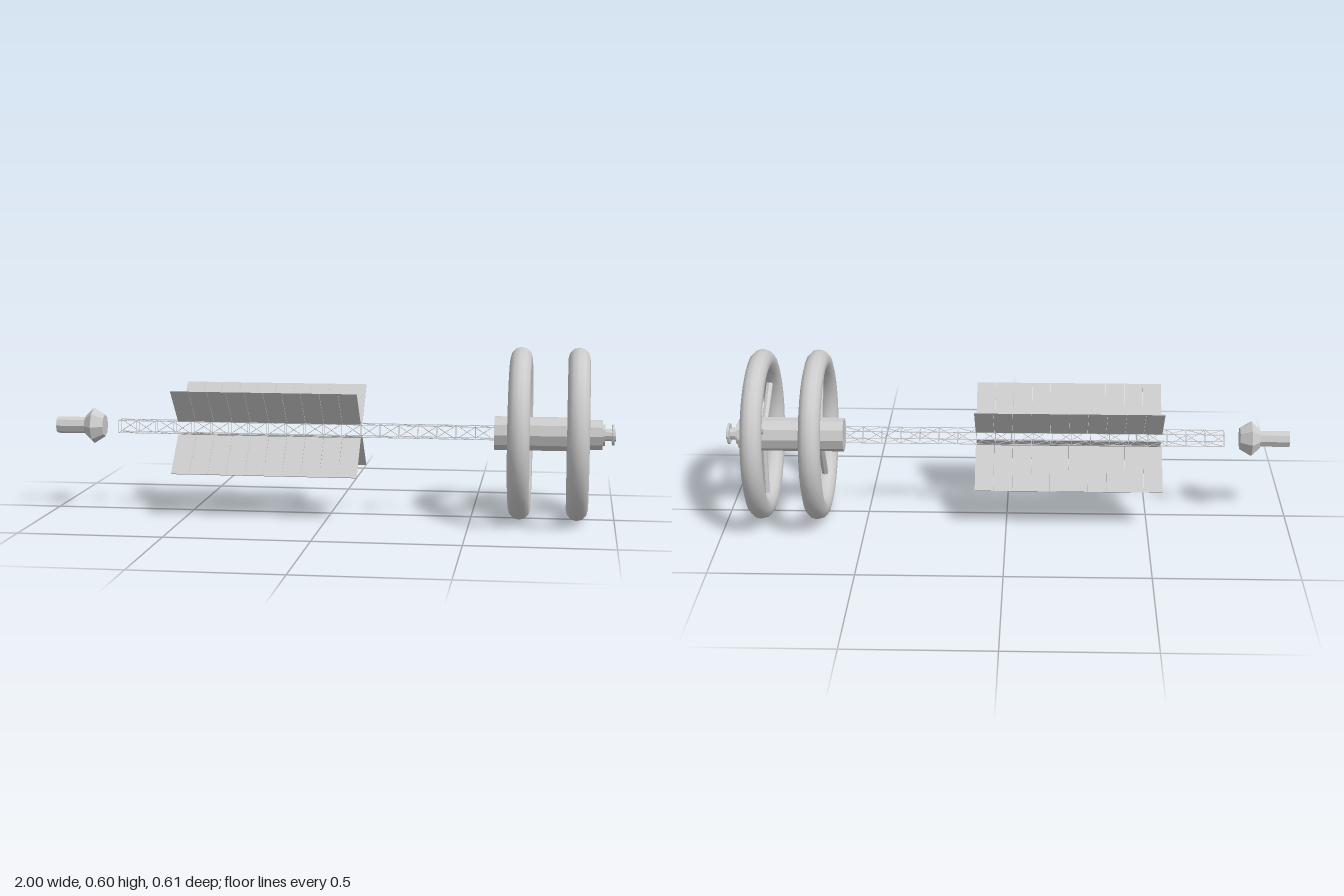
import * as THREE from 'three';

const AXIS = 0.305; // height of the long axis
const mat = new THREE.MeshStandardMaterial({ color: 0xcccccc });
const flat = new THREE.MeshStandardMaterial({ color: 0xcccccc, flatShading: true, side: THREE.DoubleSide });

function add(parent, name, geometry, material = flat) {
  const mesh = new THREE.Mesh(geometry, material);
  mesh.name = name;
  parent.add(mesh);
  return mesh;
}

// Faceted body turned about the x axis from [x, radius] pairs
function turned(pairs, sides) {
  const g = new THREE.LatheGeometry(pairs.map(([x, r]) => new THREE.Vector2(r, x)), sides);
  return g.rotateZ(-Math.PI / 2);
}

// Thin square bar between two points
function strut(parent, name, a, b, width) {
  const bar = add(parent, name, new THREE.BoxGeometry(width, width, a.distanceTo(b)));
  bar.position.copy(a).add(b).multiplyScalar(0.5);
  bar.quaternion.setFromUnitVectors(new THREE.Vector3(0, 0, 1), b.clone().sub(a).normalize());
}

function habitatRing(x, startAngle) {
  const ring = new THREE.Group();
  ring.name = 'habitatRing';
  ring.position.x = x;
  add(ring, 'ringTube', new THREE.TorusGeometry(0.265, 0.038, 12, 30).rotateY(Math.PI / 2), mat);
  // Three hexagonal spokes, angles measured from -z towards +y
  for (let i = 0; i < 3; i++) {
    const a = startAngle + (i * Math.PI * 2) / 3;
    const spoke = add(ring, 'spoke', new THREE.CylinderGeometry(0.0125, 0.0125, 0.2, 6).translate(0, 0.14, 0));
    spoke.rotation.x = a - Math.PI / 2;
    // a = 0 points to -z, a = 90 degrees points up
  }
  return ring;
}

function truss(x0, x1, half, bays) {
  const group = new THREE.Group();
  group.name = 'truss';
  const corners = [[1, 1], [1, -1], [-1, -1], [-1, 1]];
  const at = (x, i) => new THREE.Vector3(x, corners[i % 4][0] * half, corners[i % 4][1] * half);
  const pitch = (x1 - x0) / bays;
  for (let c = 0; c < 4; c++) {
    strut(group, 'longeron', at(x0, c), at(x1, c), 0.002);
    for (let b = 0; b <= bays; b++) {
      const x = x0 + b * pitch;
      strut(group, 'crossBar', at(x, c), at(x, c + 1), 0.0015);
      if (b < bays) strut(group, 'diagonal', at(x, c + (b % 2)), at(x + pitch, c + 1 - (b % 2)), 0.0015);
    }
  }
  return group;
}

// Four rows of radiator plates set diagonally around the truss
function radiators(x0, x1, count) {
  const group = new THREE.Group();
  group.name = 'radiators';
  const pitch = (x1 - x0) / count;
  const inner = 0.025 * Math.SQRT2, outer = 0.147 * Math.SQRT2;
  for (let k = 0; k < 4; k++) {
    const wing = new THREE.Group();
    wing.name = 'radiatorWing';
    wing.rotation.x = Math.PI / 4 + (k * Math.PI) / 2;
    for (let i = 0; i < count; i++) {
      const plate = add(wing, 'radiatorPlate', new THREE.BoxGeometry(pitch - 0.0008, outer - inner, 0.003));
      plate.position.set(x0 + (i + 0.5) * pitch, (inner + outer) / 2, 0);
    }
    group.add(wing);
  }
  return group;
}

export function createModel() {
  const model = new THREE.Group();
  model.name = 'spacecraft';
  const ship = new THREE.Group();
  ship.name = 'hull';
  ship.position.y = AXIS;
  model.add(ship);

  // Hub carrying the rings
  add(ship, 'hub', turned([[0.58, 0], [0.58, 0.06], [0.9, 0.06], [0.9, 0.053], [0.955, 0.053], [0.955, 0]], 10));

  // Docking port at the +x end
  add(ship, 'dockingPort', turned([
    [0.95, 0.038], [0.963, 0.038], [0.963, 0.021], [0.987, 0.021],
    [0.987, 0.037], [0.995, 0.037], [0.995, 0.024], [1, 0.022], [1, 0],
  ], 10));

  // Two rings with staggered spokes
  ship.add(habitatRing(0.67, 0));
  ship.add(habitatRing(0.87, Math.PI / 6));

  ship.add(truss(-0.77, 0.58, 0.022, 20));
  ship.add(radiators(-0.55, 0.11, 10));

  // Engine block and nozzle at the -x end
  add(ship, 'engineBlock', turned([[-0.895, 0], [-0.895, 0.035], [-0.865, 0.065], [-0.825, 0.04], [-0.825, 0]], 8));
  add(ship, 'engineNozzle', turned([[-1, 0], [-1, 0.03], [-0.88, 0.03]], 8));
  return model;
}
